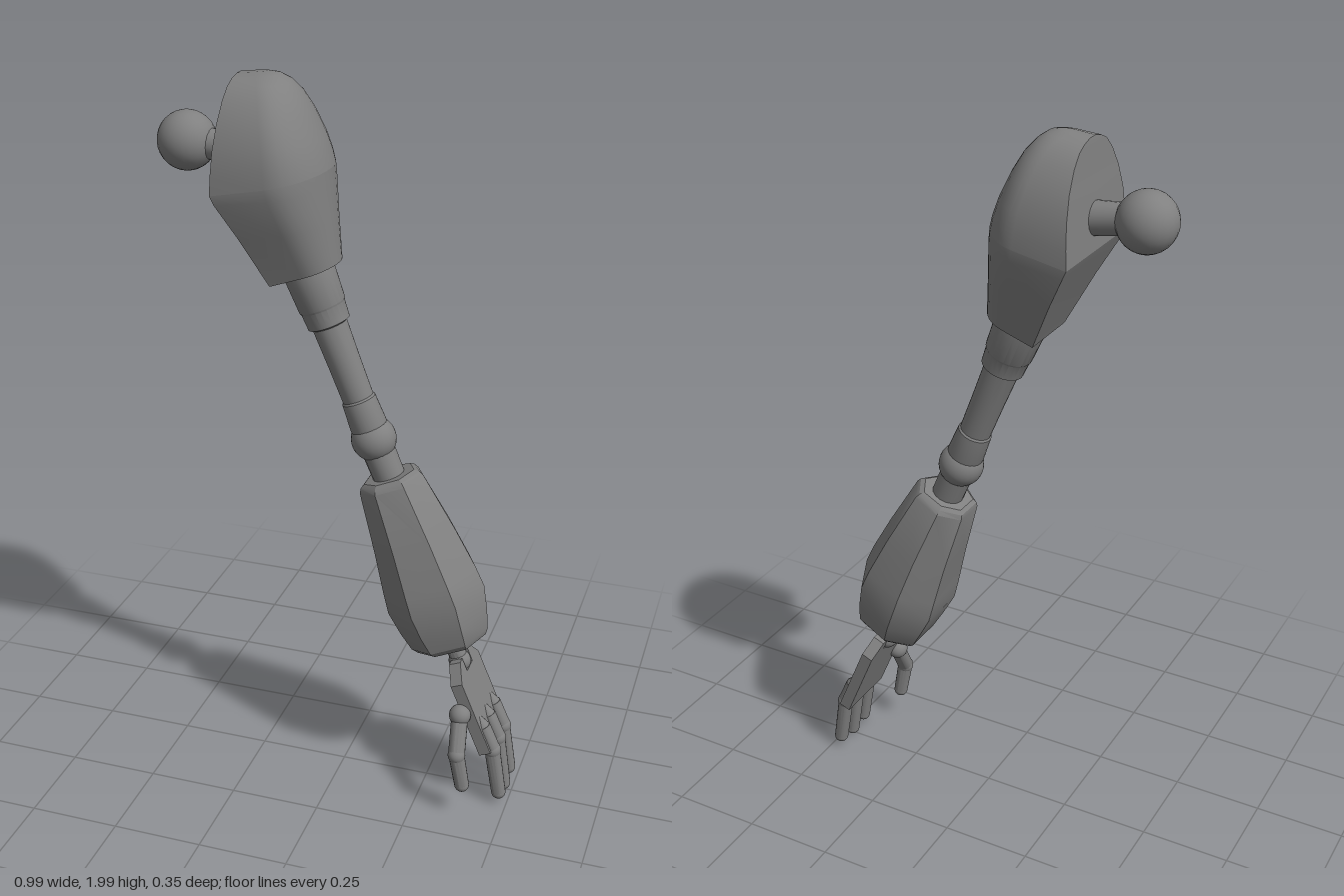
import * as THREE from 'three';
import { toCreasedNormals } from 'three/addons/utils/BufferGeometryUtils.js';

const V = (x, y, z = 0) => new THREE.Vector3(x, y, z);

export function createModel() {
  const arm = new THREE.Group();
  arm.name = 'mechanicalArm';
  arm.position.z = -0.005;
  const mat = new THREE.MeshStandardMaterial({ color: 0x808080 });

  function add(name, geo, parent = arm) {
    const mesh = new THREE.Mesh(geo, mat);
    mesh.name = name;
    parent.add(mesh);
    return mesh;
  }

  // Skin through rings listed top to bottom, closed by fans at both ends
  function loft(rings, crease) {
    const pos = [];
    const tri = (...p) => p.forEach(v => pos.push(v.x, v.y, v.z));
    const mid = r => r.reduce((s, p) => s.add(p), V(0, 0)).divideScalar(r.length);
    const n = rings[0].length, last = rings[rings.length - 1];
    const top = mid(rings[0]), bottom = mid(last);
    for (let j = 0; j < n; j++) {
      const k = (j + 1) % n;
      for (let i = 0; i + 1 < rings.length; i++) {
        const [a, b, c, d] = [rings[i][j], rings[i][k], rings[i + 1][k], rings[i + 1][j]];
        tri(a, b, d);
        tri(b, c, d);
      }
      tri(top, rings[0][k], rings[0][j]);
      tri(bottom, last[j], last[k]);
    }
    const geo = new THREE.BufferGeometry();
    geo.setAttribute('position', new THREE.Float32BufferAttribute(pos, 3));
    return toCreasedNormals(geo, crease);
  }

  // Turned part from point a towards point b; profile is [distance from a, radius]
  function turned(name, a, b, profile, parent = arm, sides = 24) {
    const pts = profile.map(([s, r]) => new THREE.Vector2(r, s));
    const mesh = add(name, toCreasedNormals(new THREE.LatheGeometry(pts, sides), 0.5), parent);
    mesh.position.copy(a);
    mesh.quaternion.setFromUnitVectors(V(0, 1), b.clone().sub(a).normalize());
  }

  function rod(name, a, b, r1, r2, parent = arm) {
    const l = a.distanceTo(b);
    turned(name, a, b, [[0, 0], [0, r1], [l, r2], [l, 0]], parent, 16);
  }

  function ball(name, p, r, parent = arm) {
    add(name, new THREE.SphereGeometry(r, 24, 16), parent).position.copy(p);
  }

  // Shoulder ball and peg
  ball('shoulderBall', V(-0.421, 1.81), 0.077);
  rod('shoulderPeg', V(-0.37, 1.807), V(-0.26, 1.795), 0.039, 0.044);

  // Shoulder shell: D-shaped sections [inner x, inner y, outer x, outer y, half depth]
  const section = ([xi, yi, xo, yo, w]) => {
    const at = (u, z) => V(xi + (xo - xi) * u, yi + (yo - yi) * u, z);
    const ring = [];
    for (let i = 0; i <= 16; i++) {
      const t = (i / 16 - 0.5) * Math.PI;
      ring.push(at(0.55 + 0.45 * Math.cos(t), w * Math.sin(t)));
    }
    ring.push(at(0, w), at(0, -w));
    return ring;
  };
  const rim = [-0.295, 1.72, -0.036, 1.77, 0.168];
  add('shoulderDome', loft([
    [-0.275, 1.991, -0.195, 2.0, 0.014], [-0.276, 1.984, -0.165, 1.993, 0.045],
    [-0.277, 1.97, -0.14, 1.976, 0.075], [-0.279, 1.94, -0.113, 1.946, 0.105],
    [-0.283, 1.89, -0.087, 1.9, 0.136], [-0.288, 1.83, -0.06, 1.843, 0.157],
    [-0.292, 1.77, -0.044, 1.80, 0.166], rim,
  ].map(section), 0.5));
  add('shoulderCup', loft([
    rim, [-0.284, 1.697, -0.033, 1.735, 0.166],
    [-0.235, 1.605, -0.025, 1.64, 0.133], [-0.172, 1.475, -0.013, 1.53, 0.09],
  ].map(section), 0.42));

  // Upper arm with sleeve, collar and elbow cuff
  const elbow = V(0.08, 1.05);
  turned('upperArm', V(-0.13, 1.58), elbow, [
    [0, 0], [0, 0.068], [0.09, 0.068], [0.185, 0.063], [0.19, 0.06], [0.235, 0.057],
    [0.24, 0.047], [0.34, 0.044], [0.45, 0.042], [0.455, 0.046], [0.53, 0.05], [0.56, 0.045],
  ]);
  ball('elbowBall', elbow, 0.061);
  rod('elbowNeck', elbow, V(0.135, 0.92), 0.045, 0.043);

  // Forearm: seven-sided shell [distance, half width, half depth]
  const sides = [[1, 0], [0.6, 0.83], [-0.3, 1], [-0.95, 0.55], [-0.95, -0.55], [-0.3, -1], [0.6, -0.83]];
  const forearm = add('forearmShell', loft([
    [-0.008, 0.07, 0.064], [0, 0.082, 0.075], [0.012, 0.088, 0.083], [0.18, 0.112, 0.112],
    [0.3, 0.129, 0.13], [0.36, 0.135, 0.134], [0.43, 0.122, 0.124], [0.487, 0.108, 0.106],
    [0.505, 0.097, 0.088], [0.505, 0.06, 0.055],
  ].map(([s, u, w]) => sides.map(([x, z]) => V(x * u + 0.014 * Math.sin(s * 5), -s, z * w))), 0.4));
  forearm.position.set(0.13, 0.944, 0);
  forearm.rotation.z = 0.357;

  // Wrist
  rod('wristFlange', V(0.29, 0.51), V(0.311, 0.458), 0.05, 0.045);
  rod('wristPeg', V(0.305, 0.485), V(0.338, 0.405), 0.026, 0.024);
  ball('wristBall', V(0.335, 0.41), 0.031);

  // Palm plate with clipped upper corners
  const hand = new THREE.Group();
  hand.name = 'hand';
  arm.add(hand);
  const outline = new THREE.Shape([
    [-0.09, -0.27], [0.094, -0.27], [0.094, -0.045], [0.05, 0], [0.028, 0], [0.028, -0.04],
    [-0.028, -0.04], [-0.028, 0], [-0.05, 0], [-0.09, -0.045],
  ].map(p => new THREE.Vector2(...p)));
  const palmGeo = new THREE.ExtrudeGeometry(outline, { depth: 0.034, bevelEnabled: false });
  palmGeo.translate(0, 0, -0.017).rotateY(-Math.PI / 2);
  const palm = add('palm', palmGeo, hand);
  palm.position.set(0.333, 0.428, 0);
  palm.rotation.z = 0.4;

  // Jointed digit: two segments with a round joint and tip
  function digit(name, pts, r) {
    const g = new THREE.Group();
    g.name = name;
    hand.add(g);
    rod('upperSegment', pts[0], pts[1], r, r, g);
    ball('joint', pts[1], r * 1.05, g);
    rod('lowerSegment', pts[1], pts[2], r * 0.95, r * 0.88, g);
    ball('tip', pts[2], r * 0.88, g);
    return g;
  }

  // Fingers with pointed knuckles
  for (const [name, z, drop] of [['frontFinger', 0.064, 0], ['middleFinger', 0.002, 0.012], ['backFinger', -0.06, 0]]) {
    const g = digit(name, [V(0.42, 0.252, z), V(0.452, 0.18, z), V(0.475, 0.042 - drop, z)], 0.023);
    rod('knuckleCone', V(0.4, 0.293, z), V(0.42, 0.25, z), 0.002, 0.023, g);
  }

  // Thumb
  const thumbRoot = V(0.365, 0.3, 0.101);
  ball('thumbBall', thumbRoot, 0.03, hand);
  digit('thumb', [thumbRoot, V(0.372, 0.205, 0.154), V(0.389, 0.108, 0.151)], 0.023);

  return arm;
}
